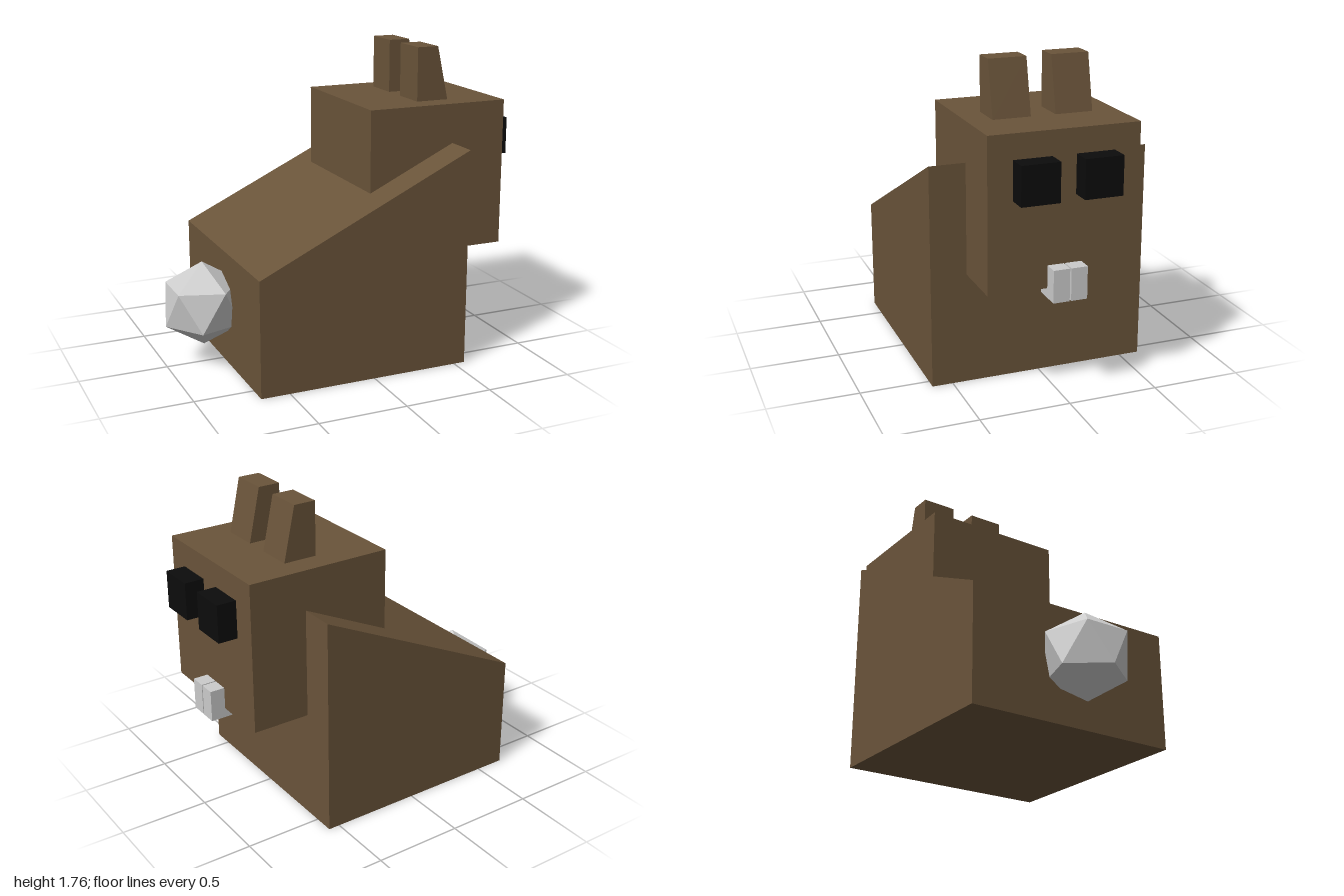
import * as THREE from 'three';

export function createModel() {
  const model = new THREE.Group();
  const material = (color) => new THREE.MeshStandardMaterial({ color, flatShading: true });
  const fur = material(0x6a543a);
  const black = material(0x0c0c0c);
  const grey = material(0xcccccc);

  const add = (name, geometry, mat) => {
    const mesh = new THREE.Mesh(geometry, mat);
    mesh.name = name;
    model.add(mesh);
    return mesh;
  };

  // Box given by its low and high corners
  const block = (name, lo, hi, mat) => {
    const size = hi.map((v, i) => v - lo[i]);
    add(name, new THREE.BoxGeometry(...size), mat)
      .position.set(...hi.map((v, i) => (v + lo[i]) / 2));
  };

  // Side profile in x and y, extruded from z0 to z1
  const slab = (name, points, z0, z1, mat) => {
    const shape = new THREE.Shape(points.map(([x, y]) => new THREE.Vector2(x, y)));
    const geometry = new THREE.ExtrudeGeometry(shape, { depth: z1 - z0, bevelEnabled: false });
    add(name, geometry.translate(0, 0, z0), mat);
  };

  // Body with a back that slopes down to the tail; the face looks along +x
  slab('body', [[-0.665, 0], [0.565, 0], [0.565, 1.235], [-0.665, 0.655]], -0.615, 0.615, fur);
  block('head', [0.06, 0.62, -0.415], [0.89, 1.457, 0.415], fur);

  // Paired ears, eyes and front teeth
  const earProfile = [[0.41, 1.45], [0.603, 1.45], [0.535, 1.76], [0.41, 1.76]];
  for (const [side, ear, eye, tooth] of [
    ['right', [-0.277, -0.068], [-0.272, -0.062], [-0.098, -0.008]],
    ['left', [0.07, 0.28], [0.07, 0.28], [0, 0.09]],
  ]) {
    slab(side + 'Ear', earProfile, ear[0], ear[1], fur);
    block(side + 'Eye', [0.79, 1.11, eye[0]], [1, 1.322, eye[1]], black);
    block(side + 'Tooth', [0.805, 0.567, tooth[0]], [0.973, 0.745, tooth[1]], grey);
  }

  // Faceted tail, turned so one corner points straight up
  const tail = new THREE.IcosahedronGeometry(0.245, 0);
  tail.rotateZ(-Math.atan(2 / (1 + Math.sqrt(5))));
  add('tail', tail, grey).position.set(-0.78, 0.35, 0);

  return model;
}
